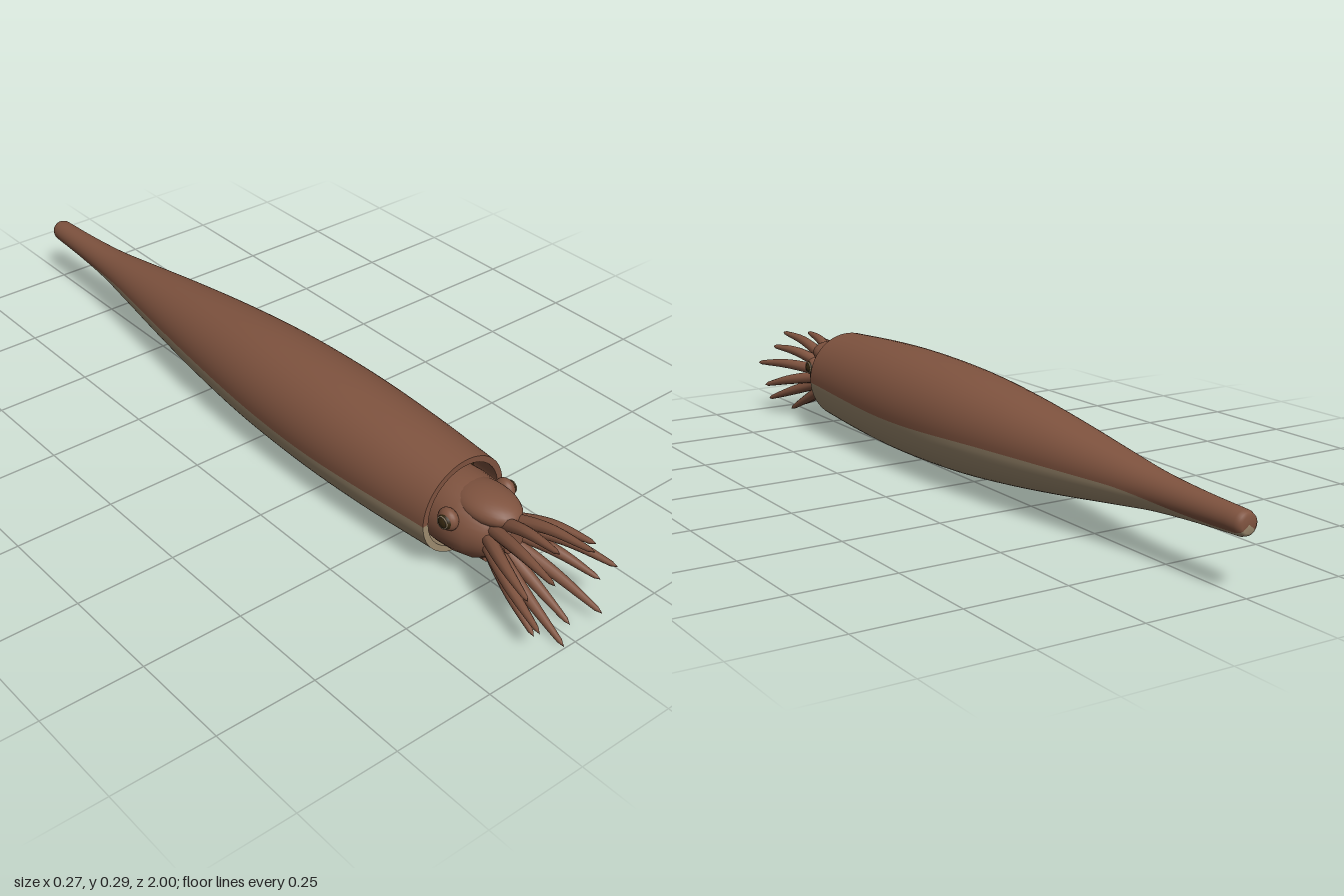
import * as THREE from 'three';

const mat = (name, color, side = THREE.FrontSide) => {
  const m = new THREE.MeshStandardMaterial({ color, side });
  m.name = name;
  return m;
};
const AXIS = 0.162;

export function createModel() {
  const brown = mat('skin brown', 0x7f533f);
  const tan = mat('belly tan', 0x9f8c70);
  const dark = mat('eye dark', 0x33260f);
  const group = new THREE.Group();
  const add = (name, geo, material, x = 0, y = 0, z = 0) => {
    const m = new THREE.Mesh(geo, material);
    m.name = name;
    m.position.set(x, y, z);
    group.add(m);
    return m;
  };

  // Mantle outline as [z, radius], tail to opening
  const side = new THREE.CatmullRomCurve3([
    [-0.985, 0.028], [-0.85, 0.034], [-0.72, 0.044], [-0.6, 0.06], [-0.4, 0.088], [-0.2, 0.112],
    [0, 0.129], [0.25, 0.136], [0.45, 0.131], [0.65, 0.119],
  ].map(([z, r]) => new THREE.Vector3(r, z, 0))).getPoints(48).map((p) => [p.y, p.x]);
  // Round the tail tip, then turn over a crisp lip into the hollow
  const profile = [
    [-1, 0], [-1, 0.018], [-0.996, 0.024], ...side,
    [0.65, 0.119], [0.65, 0.104], [0.65, 0.104], [0.57, 0.104],
  ];

  // Half-angle of the pale belly, narrowing on the tail
  const bellyAngle = (z) => {
    const dip = 0.1 * Math.exp(-(((z - 0.2) / 0.3) ** 2));
    return 1.52 - dip - 0.6 * THREE.MathUtils.smoothstep(-z, 0.6, 0.95);
  };
  const mantlePart = (range) => {
    const cols = 32, rows = profile.length - 1;
    const geo = new THREE.PlaneGeometry(1, 1, cols, rows);
    const pos = geo.attributes.position;
    for (let i = 0; i < pos.count; i++) {
      const [z, r] = profile[rows - Math.floor(i / (cols + 1))];
      const [a, b] = range(bellyAngle(z));
      const phi = a + (b - a) * (i % (cols + 1)) / cols;
      pos.setXYZ(i, r * Math.sin(phi), -r * Math.cos(phi), z);
    }
    geo.computeVertexNormals();
    return geo;
  };
  add('mantleBack', mantlePart((a) => [a, 2 * Math.PI - a]), brown, 0, AXIS);
  add('mantleBelly', mantlePart((a) => [-a, a]), tan, 0, AXIS);
  add('mantleHollow', new THREE.CircleGeometry(0.105, 40), dark, 0, AXIS, 0.575);

  // Head, hood and funnel
  const headPoints = [[0.088, 0.57], [0.092, 0.64], [0.089, 0.69], [0.08, 0.73], [0.06, 0.765], [0.045, 0.785], [0, 0.79]]
    .map(([r, z]) => new THREE.Vector2(r, z));
  add('head', new THREE.LatheGeometry(headPoints, 32).rotateX(Math.PI / 2), brown, 0, 0.153);
  add('hood', new THREE.SphereGeometry(1, 28, 18).scale(0.06, 0.036, 0.095), brown, 0, 0.21, 0.715);
  add('funnel', new THREE.CylinderGeometry(0.022, 0.032, 0.15, 20).rotateX(Math.PI / 2), brown, 0, 0.084, 0.666);

  // Eyes: brown lid, dark ball, pale iris ring
  for (const s of [1, -1]) {
    add('eyeLid', new THREE.SphereGeometry(0.027, 20, 14).scale(0.7, 1, 1), brown, s * 0.085, 0.187, 0.69);
    add('eyeball', new THREE.SphereGeometry(0.02, 20, 14), dark, s * 0.09, 0.187, 0.692);
    add('eyeRing', new THREE.TorusGeometry(0.014, 0.002, 6, 24).rotateY(Math.PI / 2), tan, s * 0.104, 0.187, 0.692);
  }

  // Mouth plate between the arms
  add('mouth', new THREE.CylinderGeometry(0.03, 0.04, 0.03, 12).rotateX(Math.PI / 2), brown, 0, 0.155, 0.79);

  // Twelve tapering arms fanning out, alternately long and short
  const rings = 16, around = 10;
  for (let k = 0; k < 12; k++) {
    const a = (k + 0.5) * Math.PI / 6;
    const c = Math.cos(a), s = Math.sin(a);
    const tip = new THREE.Vector3(0.117 * c, 0.121 + 0.115 * s, k % 2 ? 0.957 : 0.997);
    const root = new THREE.Vector3(0.035 * c, 0.152 + 0.035 * s, 0.755);
    const mid = root.clone().lerp(tip, 0.5);
    mid.x += 0.008 * c;
    mid.y += 0.008 * s + 0.006;
    const curve = new THREE.CatmullRomCurve3([root, mid, tip]);
    const geo = new THREE.TubeGeometry(curve, rings, 1, around);
    const pos = geo.attributes.position, v = new THREE.Vector3();
    for (let i = 0; i < pos.count; i++) {
      const t = Math.floor(i / (around + 1)) / rings;
      const centre = curve.getPointAt(t);
      const r = t === 1 ? 0 : 0.016 - 0.0115 * t * t;
      v.fromBufferAttribute(pos, i).sub(centre).multiplyScalar(r).add(centre);
      pos.setXYZ(i, v.x, v.y, v.z);
    }
    add('arm', geo, brown);
  }
  return group;
}
